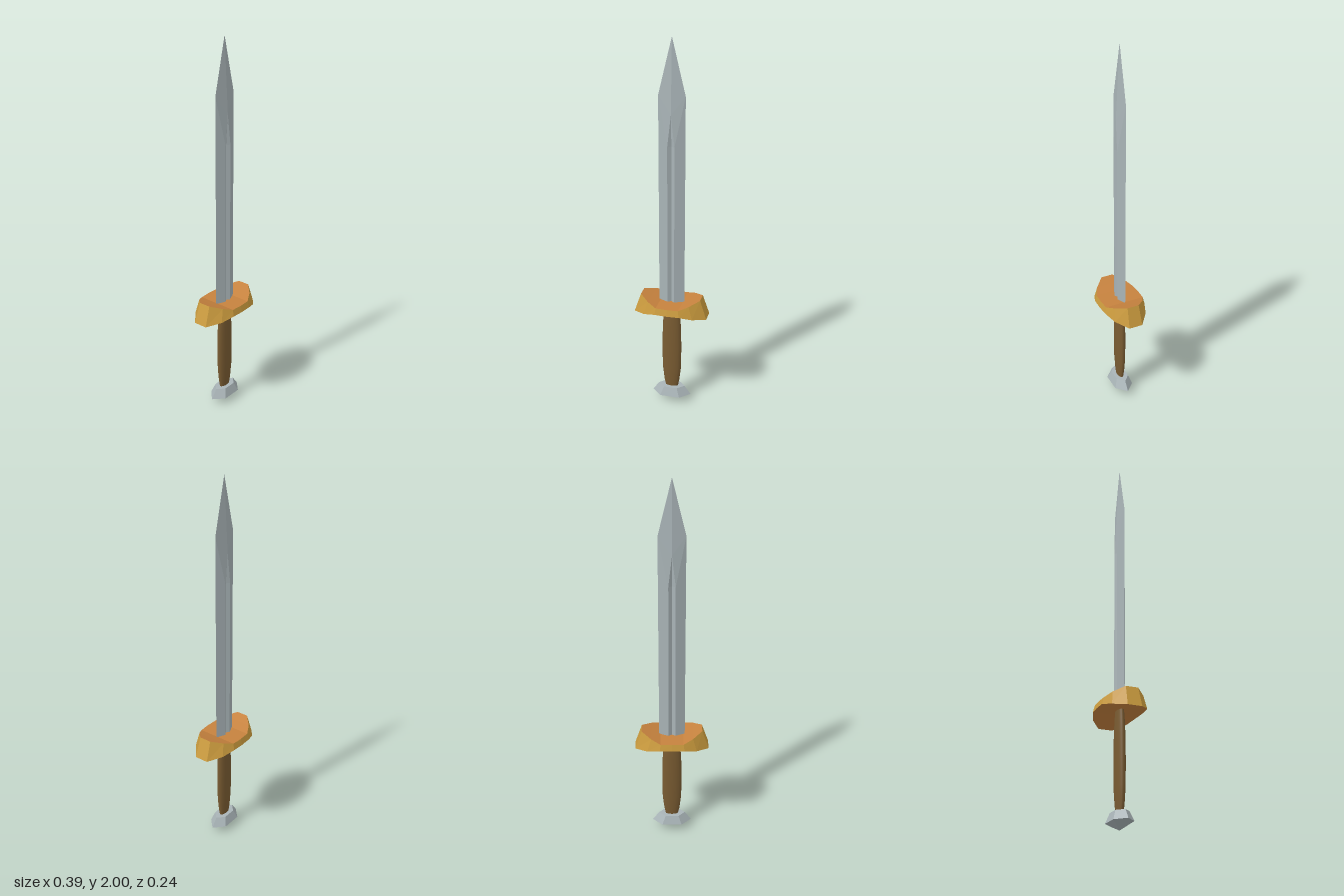
import * as THREE from 'three';

const material = (name, color, flatShading = true) => {
  const m = new THREE.MeshStandardMaterial({ color, flatShading });
  m.name = name;
  return m;
};

// Polygons given as lists of points, counter-clockwise from outside
function facesGeometry(faces) {
  const pos = [];
  for (const f of faces)
    for (let i = 1; i < f.length - 1; i++) pos.push(...f[0], ...f[i], ...f[i + 1]);
  const g = new THREE.BufferGeometry();
  g.setAttribute('position', new THREE.Float32BufferAttribute(pos, 3));
  g.computeVertexNormals();
  return g;
}

// Mirror one quarter (+x, +z) into all four
function mirrorQuarter(faces) {
  const all = [];
  for (const sx of [1, -1])
    for (const sz of [1, -1])
      for (const f of faces) {
        const p = f.map(([x, y, z]) => [x * sx, y, z * sz]);
        all.push(sx * sz < 0 ? p.reverse() : p);
      }
  return facesGeometry(all);
}

export function createModel() {
  const steel = material('steel', 0xa9b4b7);
  const gold = material('gold', 0xcc9c3e);
  const bronze = material('bronze', 0xc6823e);
  const leather = material('brown grip', 0x7a5c32, false);

  const model = new THREE.Group();
  model.name = 'sword';
  const add = (name, geometry, mat, parent = model) => {
    const mesh = new THREE.Mesh(geometry, mat);
    mesh.name = name;
    parent.add(mesh);
    return mesh;
  };

  // Blade: bevelled sides, pointed tip and a shallow central groove
  const e0 = [0.068, 0.6, 0], e1 = [0.068, 1.72, 0], tip = [0, 2, 0];
  const ridge = [0, 1.63, 0.02];
  const s0 = [0.018, 0.6, 0.022], s1 = [0.018, 1.47, 0.022];
  const c0 = [0, 0.6, 0.01], c1 = [0, 1.47, 0.01];
  add('blade', mirrorQuarter([
    [e0, e1, s1, s0], [e1, ridge, s1], [e1, tip, ridge],
    [s0, s1, c1, c0], [s1, ridge, c1],
  ]), steel);

  // Guard: flared plate, stations run from the centre to the end as [x, y, z]
  const top = [[0, 0.615, 0.11], [0.06, 0.615, 0.107], [0.11, 0.632, 0.08], [0.16, 0.65, 0.032]];
  const low = [[0, 0.58, 0.118], [0.065, 0.58, 0.115], [0.13, 0.562, 0.09], [0.195, 0.545, 0.037]];
  const mid = ([x, y]) => [x, y, 0];
  const rim = [], plates = [];
  for (let i = 0; i < 3; i++) {
    rim.push([low[i], low[i + 1], top[i + 1], top[i]]);
    plates.push([mid(top[i]), top[i], top[i + 1], mid(top[i + 1])]);
    plates.push([mid(low[i]), mid(low[i + 1]), low[i + 1], low[i]]);
  }
  rim.push([low[3], mid(low[3]), mid(top[3]), top[3]]);
  const guard = new THREE.Group();
  guard.name = 'guard';
  model.add(guard);
  add('guardRim', mirrorQuarter(rim), gold, guard);
  add('guardPlates', mirrorQuarter(plates), bronze, guard);

  // Grip: swelling profile, flattened front to back
  const profile = [[0.034, 0.08], [0.042, 0.12], [0.051, 0.2], [0.053, 0.33],
    [0.05, 0.46], [0.045, 0.53], [0.038, 0.59]];
  const gripGeo = new THREE.LatheGeometry(profile.map(([r, y]) => new THREE.Vector2(r, y)), 16);
  gripGeo.scale(1, 1, 0.45);
  add('grip', gripGeo, leather);

  // Pommel: six-sided collar over a shallow point
  const pommel = new THREE.Group();
  pommel.name = 'pommel';
  model.add(pommel);
  const hex = (rTop, rLow, y0, y1, open) => new THREE.CylinderGeometry(rTop, rLow, y1 - y0, 6, 1, open, Math.PI / 2)
    .scale(1, 1, 0.56).translate(0, (y0 + y1) / 2, 0);
  add('pommelCollar', hex(0.072, 0.107, 0.037, 0.085, false), steel, pommel);
  add('pommelPoint', hex(0.107, 0, 0, 0.037, true), steel, pommel);

  return model;
}
